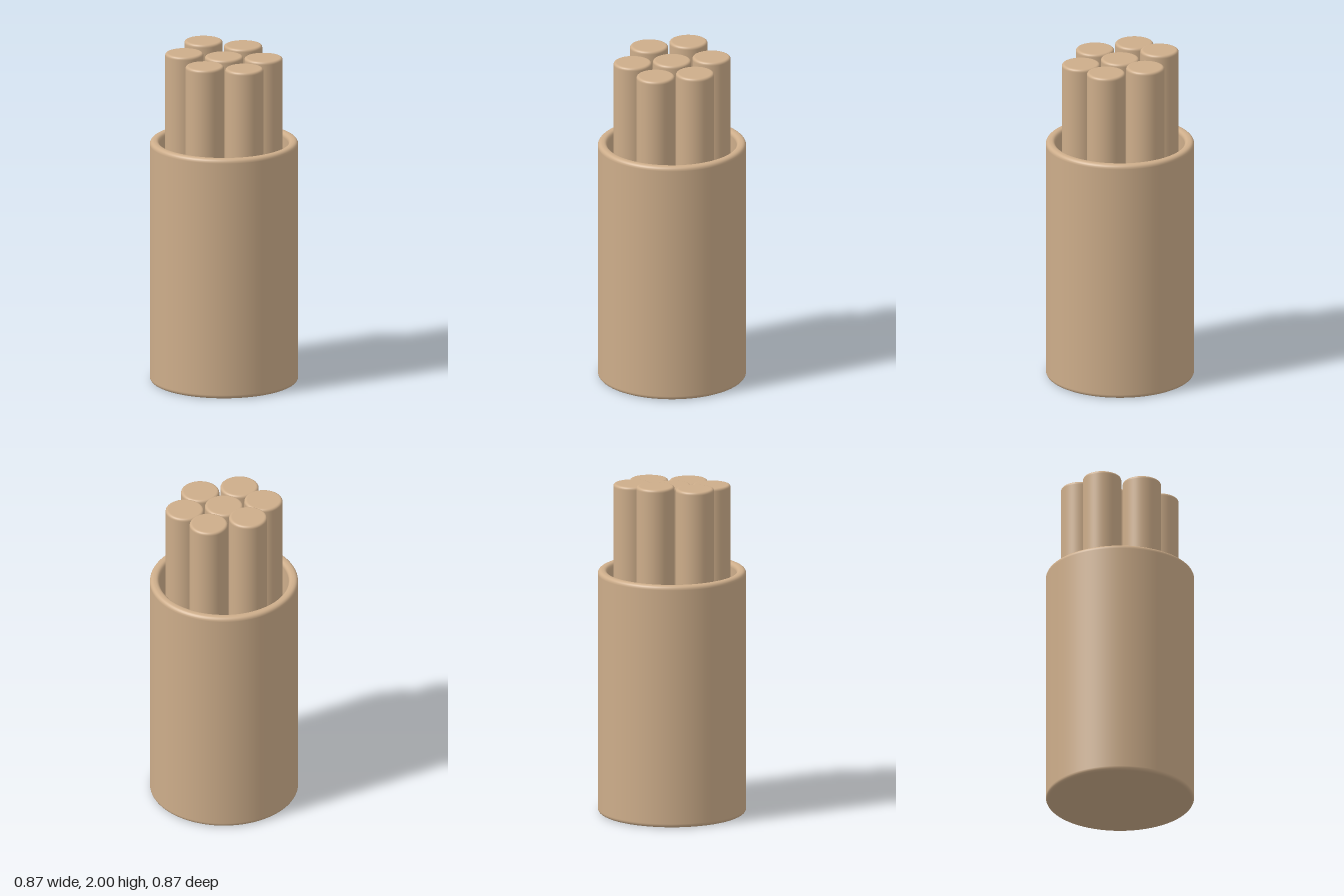
import * as THREE from 'three';

// Lathe with rounded corners: each corner is [radius, y, fillet]
function roundedLathe(corners, segments) {
  const V = (c) => new THREE.Vector2(c[0], c[1]);
  const points = [];
  corners.forEach((c, i) => {
    const p = V(c);
    if (i === 0 || i === corners.length - 1) { points.push(p); return; }
    const toPrev = V(corners[i - 1]).sub(p).normalize();
    const toNext = V(corners[i + 1]).sub(p).normalize();
    const r = c[2];
    // support points keep the long faces evenly shaded
    points.push(p.clone().addScaledVector(toPrev, r + 0.003));
    for (let k = 0; k <= 5; k++) {
      const a = (k / 5) * Math.PI / 2;
      points.push(p.clone()
        .addScaledVector(toPrev, r * (1 - Math.sin(a)))
        .addScaledVector(toNext, r * (1 - Math.cos(a))));
    }
    points.push(p.clone().addScaledVector(toNext, r + 0.003));
  });
  return new THREE.LatheGeometry(points, segments);
}

export function createModel() {
  const model = new THREE.Group();
  const tan = new THREE.MeshStandardMaterial({ color: 0xcdad8a });
  tan.name = 'tan';

  // Open cup with a rounded rim and a thick floor
  const floorY = 0.06;
  const cup = new THREE.Mesh(roundedLathe([
    [0, 0], [0.433, 0, 0.02], [0.433, 1.45, 0.022],
    [0.378, 1.45, 0.022], [0.378, floorY, 0.005], [0, floorY],
  ], 96), tan);
  cup.name = 'cup';
  model.add(cup);

  // Seven round rods: one in the middle, six in a ring, [x, z, top]
  const rods = [
    [0, 0, 1.96],
    [0, 0.231, 1.94], [0.2, 0.115, 1.95], [0.2, -0.117, 1.972],
    [0, -0.233, 2.0], [-0.2, -0.117, 1.98], [-0.2, 0.115, 1.955],
  ];
  const rodGroup = new THREE.Group();
  rodGroup.name = 'rods';
  rods.forEach(([x, z, top], i) => {
    const rod = new THREE.Mesh(roundedLathe([
      [0, floorY], [0.112, floorY, 0.015], [0.112, top, 0.015], [0, top],
    ], 48), tan);
    rod.name = i === 0 ? 'centreRod' : 'ringRod' + i;
    rod.position.set(x, 0, z);
    rodGroup.add(rod);
  });
  model.add(rodGroup);
  return model;
}
